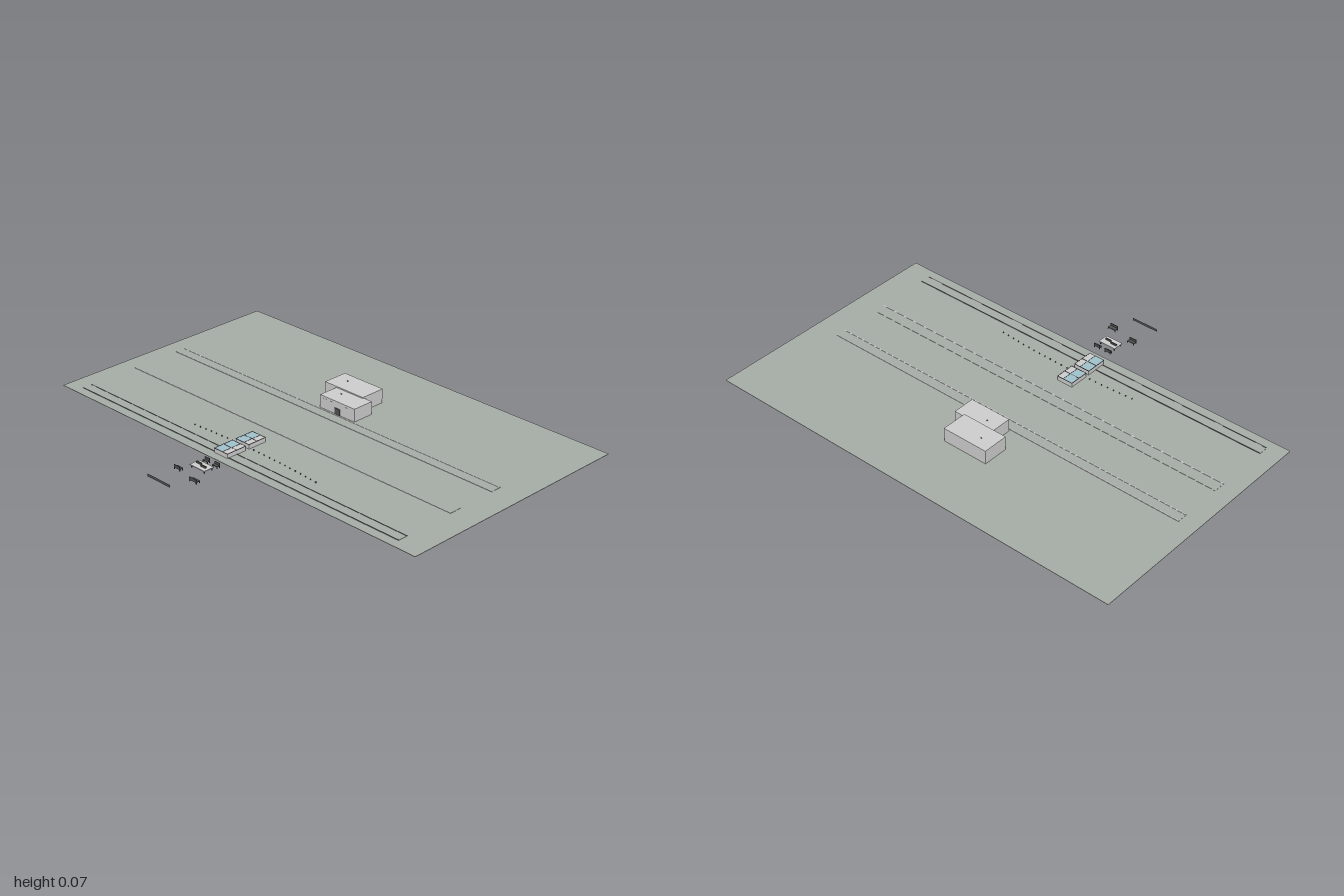
import * as THREE from 'three';

const mat = (color) => new THREE.MeshStandardMaterial({ color, side: THREE.DoubleSide });
const grey = mat(0xcccccc), soil = mat(0xa4aaa4), white = mat(0xffffff);
const dark = mat(0x505050), glass = mat(0x9fc0ca);

// Box given by its extents along each axis
function box(parent, name, x0, x1, y0, y1, z0, z1, material = grey) {
  const mesh = new THREE.Mesh(new THREE.BoxGeometry(x1 - x0, y1 - y0, z1 - z0), material);
  mesh.position.set((x0 + x1) / 2, (y0 + y1) / 2, (z0 + z1) / 2);
  mesh.name = name;
  parent.add(mesh);
  return mesh;
}

function group(parent, name, x = 0, z = 0) {
  const g = new THREE.Group();
  g.name = name;
  g.position.set(x, 0, z);
  parent.add(g);
  return g;
}

// Garden seat with four legs and a low back
function seat(parent, x, z, width, depth, backSide) {
  const g = group(parent, 'gardenSeat', x, z);
  const w = width / 2, d = depth / 2, t = 0.0015;
  box(g, 'seatBoard', -w, w, 0.007, 0.01, -d, d, dark);
  for (const sx of [-1, 1]) for (const sz of [-1, 1]) {
    const lx = sx * (w - t), lz = sz * (d - t);
    box(g, 'seatLeg', lx - t, lx + t, 0, 0.007, lz - t, lz + t, dark);
  }
  const bz = backSide * (d - t);
  box(g, 'seatBack', -w, w, 0.01, 0.02, bz - t, bz + t, dark);
}

export function createModel() {
  const model = new THREE.Group();
  model.name = 'houseAndGarden';

  // Ground and the low strips running across it
  box(model, 'ground', -1, 1, 0, 0.002, -0.705, 0.422, soil);
  for (const [z0, z1, edge] of [[-0.19, -0.14, grey], [0.04, 0.096, grey], [0.332, 0.38, dark]]) {
    box(model, 'groundStrip', -0.92, 0.88, 0.002, 0.003, z0, z1, soil);
    box(model, 'stripEdge', -0.92, 0.88, 0.002, 0.004, z1 - 0.004, z1, edge);
    if (edge === dark) box(model, 'stripEdge', -0.92, 0.88, 0.002, 0.004, z0, z0 + 0.004, edge);
  }
  box(model, 'stripEdge', -0.92, 0.88, 0.002, 0.004, -0.19, -0.186, grey);

  // House: tall rear wing, lower front wing
  const house = group(model, 'house');
  box(house, 'rearWing', -0.155, 0.06, 0, 0.065, -0.41, -0.292);
  box(house, 'frontWing', -0.09, 0.105, 0, 0.06, -0.299, -0.197);
  box(house, 'whiteSideWall', 0.06, 0.0608, 0.002, 0.065, -0.409, -0.299, white);
  box(house, 'frontDoor', -0.005, 0.025, 0.002, 0.03, -0.197, -0.194, dark);
  for (const x of [-0.075, -0.04, 0.045])
    box(house, 'frontWindow', x, x + 0.022, 0.032, 0.05, -0.197, -0.1962);
  for (const [x, y, z] of [[-0.09, 0.065, -0.36], [-0.03, 0.06, -0.26]])
    box(house, 'roofVent', x - 0.002, x + 0.002, y, y + 0.003, z - 0.002, z + 0.002, dark);

  // Two planting houses, each a frame of panes, glazed on one half of the top
  for (const [z0, z1] of [[0.18, 0.27], [0.288, 0.385]]) {
    const shed = group(model, 'glasshouse');
    const zm = (z0 + z1) / 2;
    box(shed, 'shedBody', -0.097, -0.022, 0.002, 0.021, z0, z1);
    box(shed, 'glassRoof', -0.097, -0.052, 0.021, 0.022, z0, z1, glass);
    box(shed, 'plainRoof', -0.05, -0.022, 0.021, 0.022, z0, z1);
    for (const z of [z0, zm, z1])
      box(shed, 'crossBar', -0.098, -0.021, 0.0205, 0.0228, z - 0.001, z + 0.001, dark);
    for (const x of [-0.097, -0.051, -0.022])
      box(shed, 'longBar', x - 0.001, x + 0.001, 0.0205, 0.0228, z0, z1, dark);
  }

  // Row of small posts curving gently to either side
  for (const [from, to] of [[-0.33, -0.12], [0.0, 0.36]]) {
    for (let x = from; x <= to + 1e-6; x += 0.03) {
      const z = 0.265 + 0.12 * x * x;
      box(model, 'post', x - 0.0015, x + 0.0015, 0.002, 0.007, z - 0.0015, z + 0.0015, dark);
    }
  }

  // Table with seats around it
  const table = group(model, 'gardenTable', -0.033, 0.51);
  box(table, 'tableTop', -0.042, 0.042, 0.011, 0.014, -0.025, 0.025);
  for (const x of [-0.036, 0.036]) for (const z of [-0.02, 0.02])
    box(table, 'tableLeg', x - 0.002, x + 0.002, 0, 0.011, z - 0.002, z + 0.002, dark);
  for (const [x, z] of [[-0.02, -0.004], [0.014, 0.004]])
    box(table, 'tableware', x - 0.014, x + 0.014, 0.014, 0.021, z - 0.003, z + 0.003, dark);
  seat(model, -0.06, 0.462, 0.028, 0.015, -1);
  seat(model, -0.004, 0.462, 0.028, 0.015, -1);
  seat(model, -0.092, 0.578, 0.034, 0.018, 1);
  seat(model, 0.028, 0.602, 0.04, 0.02, 1);

  // Thin upright panel at the very front
  const panel = new THREE.Mesh(new THREE.PlaneGeometry(0.13, 0.012), dark);
  panel.name = 'frontPanel';
  panel.position.set(-0.062, 0.011, 0.705);
  model.add(panel);

  return model;
}
